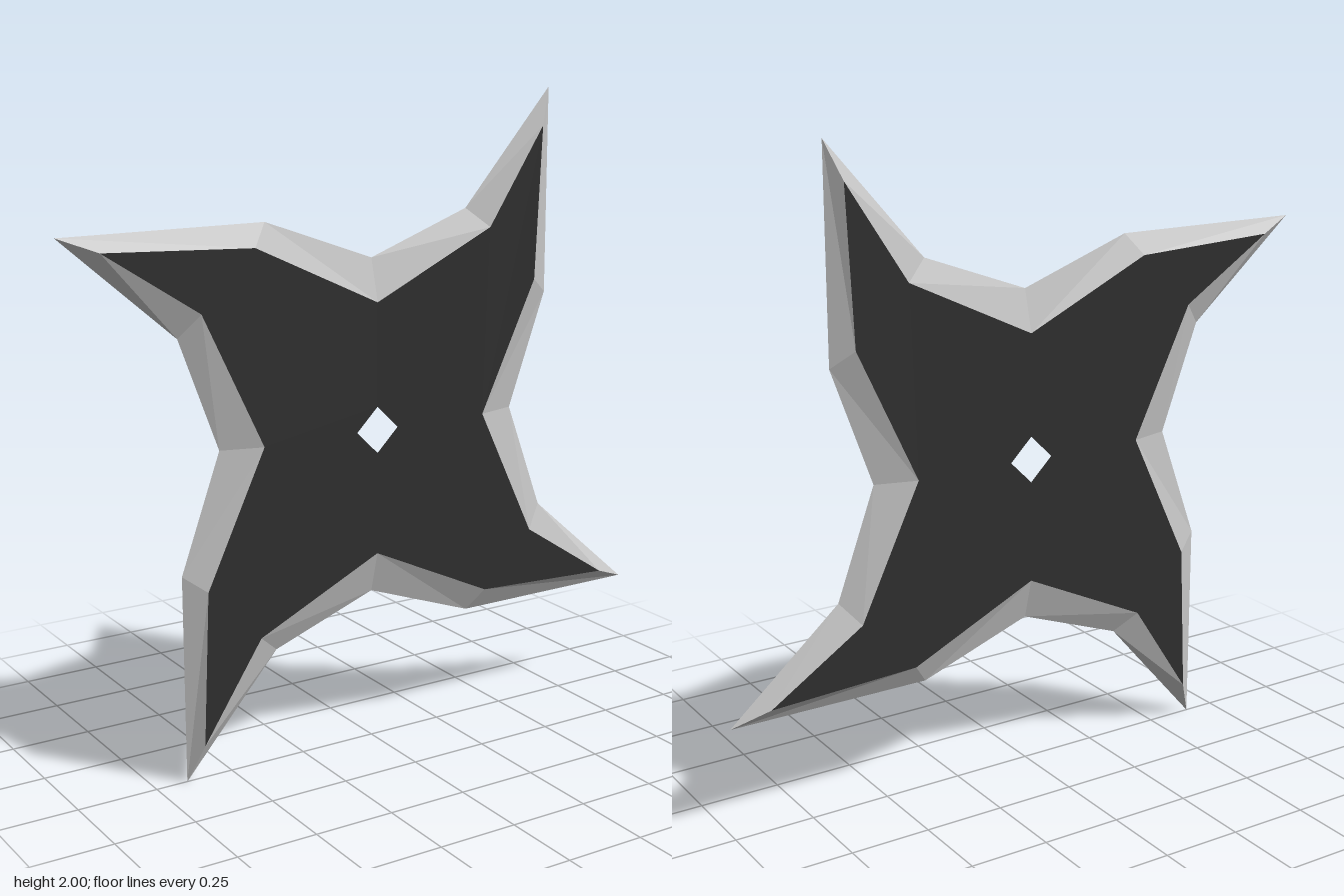
import * as THREE from 'three';

const HALF = 0.035; // half thickness of the flat plate
const CENTRE_Y = 1;

// One quarter of each outline, clockwise from the top notch
const EDGE = [[0, 0.52], [0.34, 0.645], [0.65, 1], [0.65, 0.36]];
const FACE = [[0, 0.39], [0.41, 0.585], [0.605, 0.885], [0.583, 0.41]];

// Repeat a quarter outline four times, turning 90 degrees clockwise each time
function fourfold(quarter) {
  const points = [];
  let arm = quarter.map(([x, y]) => new THREE.Vector2(x, y));
  for (let k = 0; k < 4; k++) {
    points.push(...arm);
    arm = arm.map((p) => new THREE.Vector2(p.y, -p.x));
  }
  return points;
}

// Sloped band from the sharp rim to the flat face, on the front (+1) or back (-1)
function bevelGeometry(outer, inner, side) {
  const positions = [];
  const rim = (p) => [p.x, p.y, 0];
  const top = (p) => [p.x, p.y, side * HALF];
  outer.forEach((o, i) => {
    const j = (i + 1) % outer.length;
    const a = rim(o), b = top(inner[i]), c = top(inner[j]), d = rim(outer[j]);
    const corners = side > 0 ? [a, b, c, a, c, d] : [a, c, b, a, d, c];
    positions.push(...corners.flat());
  });
  const geometry = new THREE.BufferGeometry();
  geometry.setAttribute('position', new THREE.Float32BufferAttribute(positions, 3));
  geometry.computeVertexNormals();
  return geometry;
}

export function createModel() {
  const darkSteel = new THREE.MeshStandardMaterial({ color: 0x303030 });
  darkSteel.name = 'darkSteel';
  const brightSteel = new THREE.MeshStandardMaterial({ color: 0xc6c6c6 });
  brightSteel.name = 'brightSteel';

  const group = new THREE.Group();
  group.name = 'throwingStar';
  const add = (name, geometry, material) => {
    const mesh = new THREE.Mesh(geometry, material);
    mesh.name = name;
    mesh.position.y = CENTRE_Y;
    group.add(mesh);
  };

  const outer = fourfold(EDGE);
  const inner = fourfold(FACE);

  // Flat dark body with a diamond hole through the middle
  const shape = new THREE.Shape(inner);
  shape.holes.push(new THREE.Path(fourfold([[0, 0.072]])));
  const body = new THREE.ExtrudeGeometry(shape, { depth: 2 * HALF, bevelEnabled: false });
  body.translate(0, 0, -HALF);
  add('body', body, darkSteel);

  // Sharpened edges on both sides
  add('frontBevel', bevelGeometry(outer, inner, 1), brightSteel);
  add('backBevel', bevelGeometry(outer, inner, -1), brightSteel);

  return group;
}
